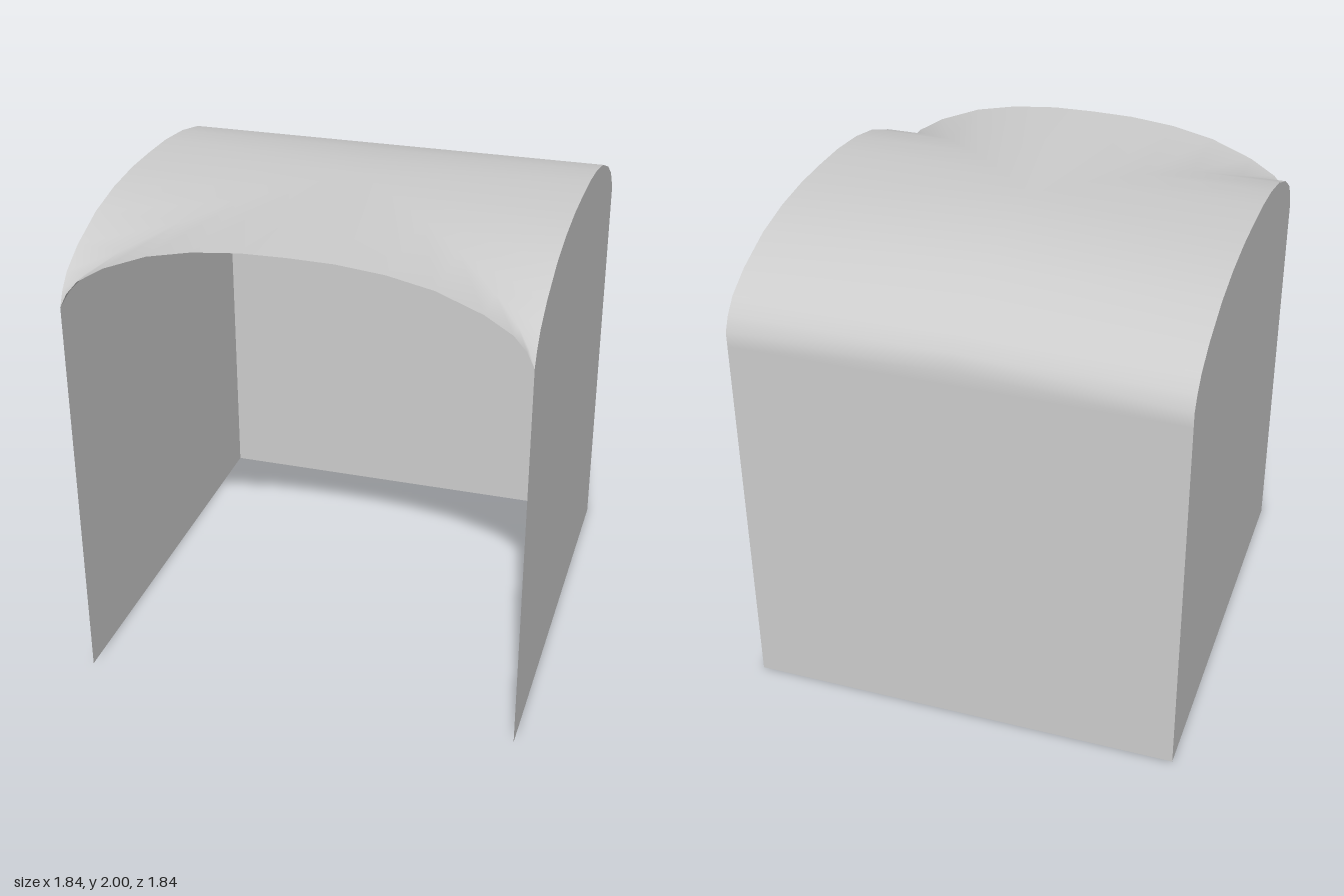
import * as THREE from 'three';
import { mergeVertices } from 'three/addons/utils/BufferGeometryUtils.js';

const W = 0.92; // half width and half depth
const HEM = 1.62; // where the roof bend flows into the back wall
// Half arch: distance from the crown, height
const ARCH = [[0, 2], [0.18, 1.997], [0.37, 1.978], [0.55, 1.94], [0.73, 1.87], [0.84, 1.803], [0.89, 1.745], [W, 1.685]];

function roofGeometry() {
  const pos = [];
  const n = new THREE.Vector3();
  // Triangle that always faces up (or backwards, where it is upright)
  const tri = (...p) => {
    const t = new THREE.Triangle(...p.map((q) => new THREE.Vector3(...q)));
    if (t.getArea() < 1e-7) return;
    t.getNormal(n);
    if (n.y - 0.01 * n.z < 0) p.reverse();
    pos.push(...p.flat());
  };
  const quad = (a, b, c, d) => { tri(a, b, c); tri(a, c, d); };

  for (let i = 0; i < ARCH.length - 1; i++) {
    const [t0, y0] = ARCH[i], [t1, y1] = ARCH[i + 1];
    for (const s of [-1, 1]) {
      // Back barrel
      quad([0, y0, -t0], [s * W, y0, -t0], [s * W, y1, -t1], [0, y1, -t1]);
      // Side vault, from the diagonal valley out to the side wall
      quad([s * t0, y0, t0], [s * W, y0, t0], [s * W, y1, t1], [s * t1, y1, t1]);
      // Front vault, from the valley out to the open arch
      quad([s * t0, y0, t0], [s * t0, y0, W], [s * t1, y1, W], [s * t1, y1, t1]);
    }
  }
  // Bend into the back wall
  const yEnd = ARCH[ARCH.length - 1][1];
  for (const s of [-1, 1]) quad([0, yEnd, -W], [s * W, yEnd, -W], [s * W, HEM, -W], [0, HEM, -W]);

  const geo = new THREE.BufferGeometry();
  geo.setAttribute('position', new THREE.Float32BufferAttribute(pos, 3));
  const merged = mergeVertices(geo, 1e-4);
  merged.computeVertexNormals();
  return merged;
}

// Flat wall with an arched top
function sideGeometry() {
  const right = ARCH.map(([t, y]) => new THREE.Vector2(t, y)).reverse();
  const left = ARCH.slice(1).map(([t, y]) => new THREE.Vector2(-t, y));
  return new THREE.ShapeGeometry(new THREE.Shape([
    new THREE.Vector2(-W, 0), new THREE.Vector2(W, 0), ...right, ...left,
  ]));
}

export function createModel() {
  const group = new THREE.Group();
  group.name = 'vaultedShelter';
  const material = new THREE.MeshStandardMaterial({ color: 0xcccccc, side: THREE.DoubleSide });
  const add = (name, geometry) => {
    const mesh = new THREE.Mesh(geometry, material);
    mesh.name = name;
    group.add(mesh);
    return mesh;
  };

  add('roof', roofGeometry());

  // Side walls
  for (const [name, s] of [['leftWall', 1], ['rightWall', -1]]) {
    const wall = add(name, sideGeometry());
    wall.rotation.y = s * Math.PI / 2;
    wall.position.x = s * W;
  }

  // Back wall
  const back = add('backWall', new THREE.PlaneGeometry(2 * W, HEM));
  back.rotation.y = Math.PI;
  back.position.set(0, HEM / 2, -W);

  return group;
}
